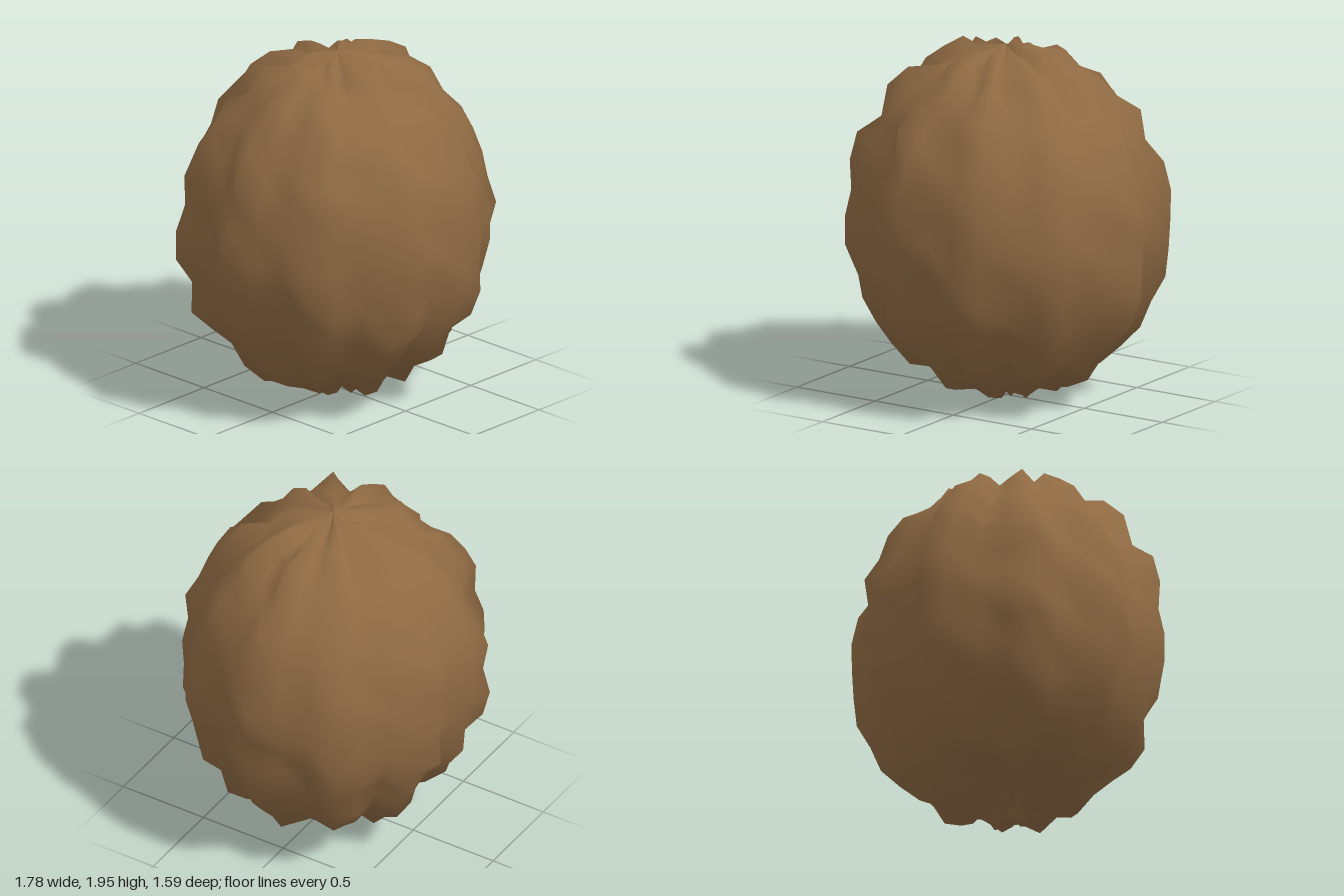
import * as THREE from 'three';

const COLS = 32, ROWS = 20, RIDGES = 10;
const RX = 0.818, RY = 0.928, RZ = 0.772;

function seeded(seed) {
  return () => {
    seed = (seed * 16807) % 2147483647;
    return seed / 2147483647;
  };
}

// Ellipsoid with ten lengthwise ridges and uneven bumps, both scaled by strength
function wrinkledShell(strength) {
  const rand = seeded(4217);
  const positions = [], indices = [];
  for (let r = 0; r <= ROWS; r++) {
    const phi = (r / ROWS) * Math.PI;
    const pole = r === 0 || r === ROWS;
    for (let c = 0; c < COLS; c++) {
      const theta = (c / COLS) * Math.PI * 2;
      // Ridges soften towards the two ends
      const ridge = 0.075 * Math.cos(RIDGES * theta) * (0.4 + 0.6 * Math.sin(phi));
      const bump = (rand() - 0.5) * 0.1;
      const s = pole ? 1.03 : 1 + strength * (ridge + bump);
      const flat = Math.sin(phi) * s;
      positions.push(RX * flat * Math.cos(theta), 1 + RY * Math.cos(phi) * s, RZ * flat * Math.sin(theta));
    }
  }
  for (let r = 0; r < ROWS; r++) {
    for (let c = 0; c < COLS; c++) {
      const n = (c + 1) % COLS;
      const a = r * COLS + c, b = r * COLS + n;
      const d = a + COLS, e = b + COLS;
      if (r > 0) indices.push(a, b, d);
      if (r < ROWS - 1) indices.push(b, e, d);
    }
  }
  const geometry = new THREE.BufferGeometry();
  geometry.setAttribute('position', new THREE.Float32BufferAttribute(positions, 3));
  geometry.setIndex(indices);
  geometry.computeVertexNormals();
  return geometry;
}

export function createModel() {
  const brown = new THREE.MeshStandardMaterial({ color: 0x8f6a43 });
  brown.name = 'shell brown';

  // Softer normals keep the shading smooth over the jagged outline
  const geometry = wrinkledShell(1);
  geometry.setAttribute('normal', wrinkledShell(0.5).getAttribute('normal'));

  const shell = new THREE.Mesh(geometry, brown);
  shell.name = 'wrinkledShell';

  const model = new THREE.Group();
  model.name = 'wrinkledNut';
  model.add(shell);
  return model;
}
